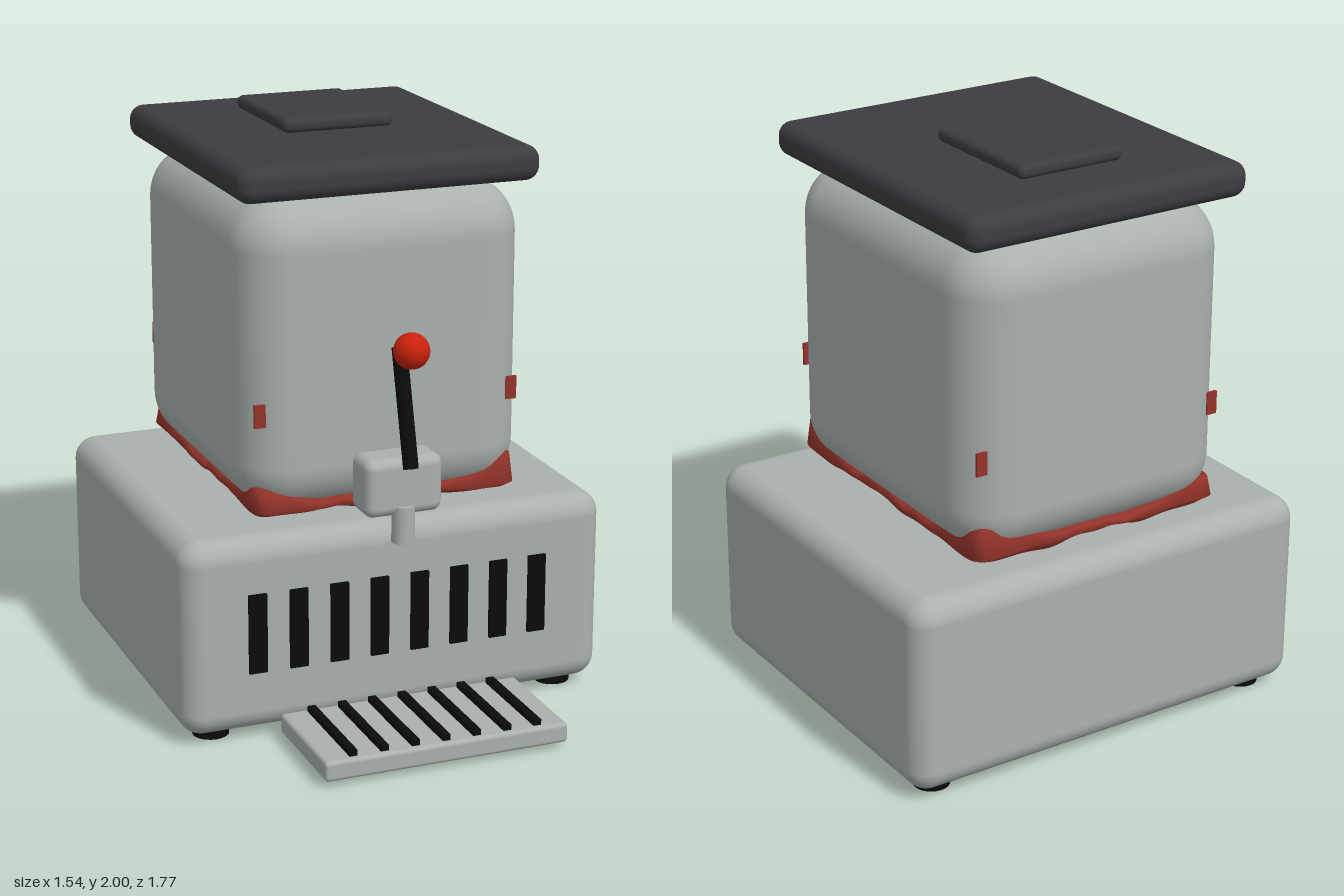
import * as THREE from 'three';
import { RoundedBoxGeometry } from 'three/addons/geometries/RoundedBoxGeometry.js';

const mat = (name, color, side = THREE.FrontSide) => {
  const m = new THREE.MeshStandardMaterial({ color, side });
  m.name = name;
  return m;
};

// Irregular melted band: wavy cross-sections swept round a squarish loop
function meltedBand() {
  const N = 240, pos = [], idx = [];
  const halfX = 0.475, halfZ = 0.565, power = 24, M = 6;
  for (let i = 0; i < N; i++) {
    const t = (i / N) * Math.PI * 2, c = Math.cos(t), s = Math.sin(t);
    const r = 1 / Math.pow(Math.abs(c) ** power + Math.abs(s) ** power, 1 / power);
    const corner = Math.pow(Math.abs(2 * c * s), 10);
    const wave = 0.009 * Math.sin(5 * t + 1) + 0.006 * Math.sin(11 * t) + 0.004 * Math.sin(23 * t + 2);
    const top = 0.79 + wave + corner * (0.07 + 0.025 * c);
    const low = 0.007 * Math.sin(7 * t) + 0.004 * Math.sin(17 * t);
    const section = [
      [0.05, top + 0.025], [0.012 - 0.008 * corner, top - 0.008], [-0.006 * corner, 0.768 + wave * 0.5],
      [0.02, 0.748 + low], [0.06, 0.735 + low], [0.14, 0.75],
    ];
    for (const [inset, y] of section)
      pos.push(c * r * (halfX - inset), y, -0.217 + s * r * (halfZ - inset));
    for (let j = 0; j < M; j++) {
      const i2 = (i + 1) % N, j2 = (j + 1) % M;
      const a = i * M + j, b = i2 * M + j, d = i * M + j2, e = i2 * M + j2;
      idx.push(a, b, d, b, e, d);
    }
  }
  const g = new THREE.BufferGeometry();
  g.setAttribute('position', new THREE.Float32BufferAttribute(pos, 3));
  g.setIndex(idx);
  g.computeVertexNormals();
  return g;
}

export function createModel() {
  const group = new THREE.Group();
  const grey = mat('brushed grey', 0xa9b0ad);
  const dark = mat('charcoal', 0x3d3c41);
  const black = mat('black', 0x0b0b0b);
  const red = mat('bright red', 0xc9220d);
  const brick = mat('brick red', 0x93332a, THREE.DoubleSide);

  const add = (name, geo, material, x, y, z) => {
    const m = new THREE.Mesh(geo, material);
    m.name = name;
    m.position.set(x, y, z);
    group.add(m);
    return m;
  };
  // Boxes given by their min and max on each axis
  const box = (name, material, [x0, x1], [y0, y1], [z0, z1], radius = 0) => {
    const size = [x1 - x0, y1 - y0, z1 - z0];
    const geo = radius ? new RoundedBoxGeometry(...size, 6, radius) : new THREE.BoxGeometry(...size);
    return add(name, geo, material, (x0 + x1) / 2, (y0 + y1) / 2, (z0 + z1) / 2);
  };

  // Main bodies
  box('base', grey, [-0.77, 0.77], [0.03, 0.72], [-0.885, 0.45], 0.08);
  box('tank', grey, [-0.51, 0.51], [0.735, 1.825], [-0.805, 0.37], 0.18);
  box('lid', dark, [-0.535, 0.535], [1.83, 1.95], [-0.835, 0.395], 0.05);
  box('lidPlate', dark, [-0.2, 0.2], [1.95, 2], [-0.6, -0.1], 0.022);
  add('meltedSeal', meltedBand(), brick, 0, 0, 0);

  // Corner tabs and feet
  for (const sx of [-1, 1]) {
    for (const z of [0.335, -0.77])
      add('cornerTab', new THREE.BoxGeometry(0.04, 0.08, 0.01), brick, sx * 0.455, 1.107, z);
    for (const z of [0.325, -0.755])
      add('foot', new THREE.CylinderGeometry(0.063, 0.063, 0.04, 24), black, sx * 0.64, 0.02, z);
  }

  // Front vents
  for (let i = 0; i < 8; i++) {
    const x = (i - 3.5) * 0.146;
    box('vent', black, [x - 0.032, x + 0.032], [0.25, 0.53], [0.44, 0.462]);
  }

  // Drip tray with slats
  box('dripTray', grey, [-0.435, 0.435], [0.02, 0.09], [0.455, 0.885], 0.014);
  for (let i = -3; i <= 3; i++)
    box('traySlat', black, [i * 0.11 - 0.014, i * 0.11 + 0.014], [0.085, 0.11], [0.475, 0.863]);

  // Dispenser tap
  box('tapBlock', grey, [-0.14, 0.14], [0.753, 0.955], [0.35, 0.5], 0.035);
  add('nozzle', new THREE.CylinderGeometry(0.04, 0.04, 0.13, 24), grey, 0, 0.723, 0.48);
  const lever = add('lever', new THREE.CylinderGeometry(0.026, 0.026, 0.405, 20), black, 0, 1.13, 0.491);
  lever.rotation.x = -0.264;
  add('leverKnob', new THREE.SphereGeometry(0.061, 28, 20), red, 0, 1.34, 0.543);

  return group;
}
